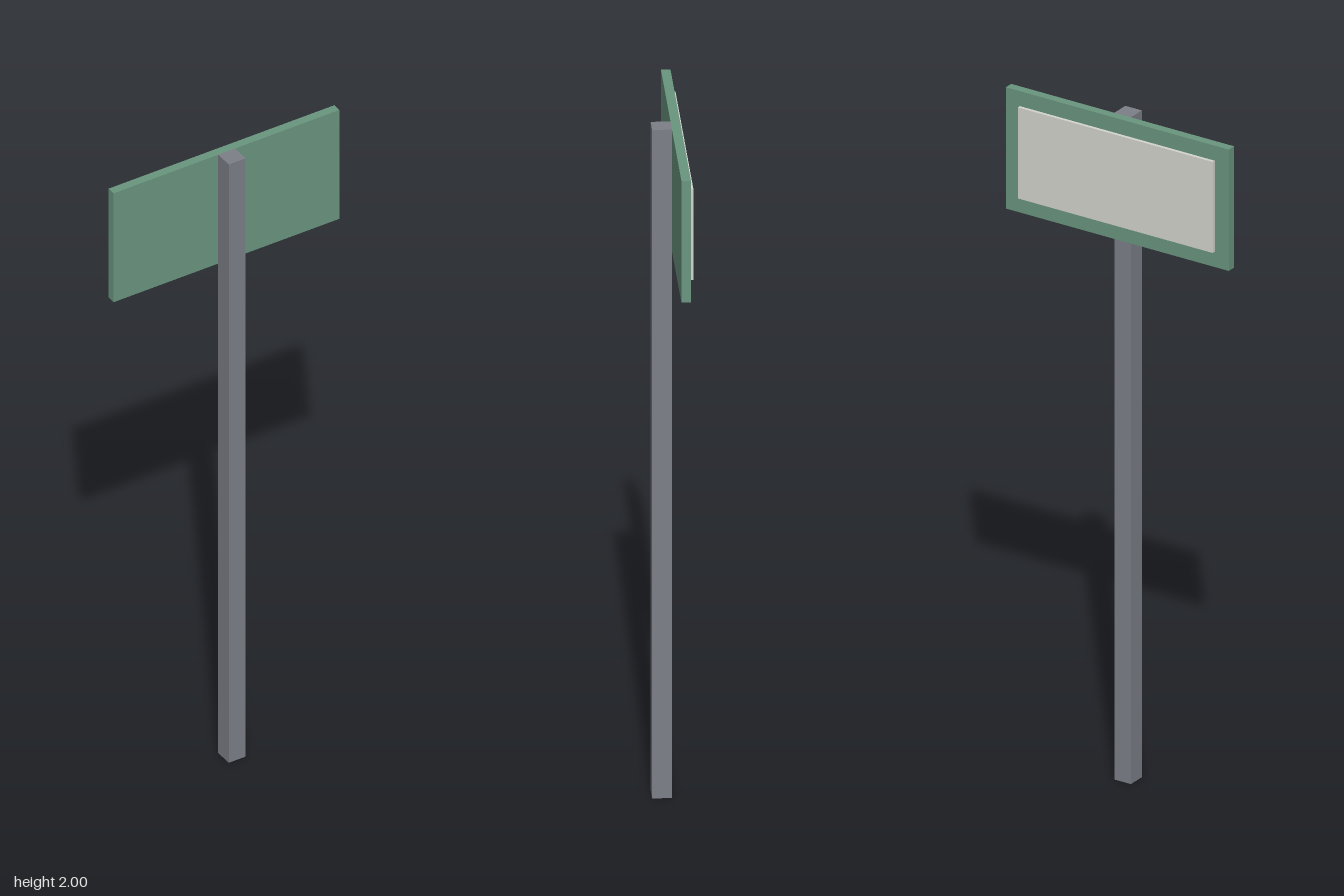
import * as THREE from 'three';

// Box given by its size, centre height and z range
function block(name, color, width, y0, y1, z0, z1) {
  const mesh = new THREE.Mesh(
    new THREE.BoxGeometry(width, y1 - y0, z1 - z0),
    new THREE.MeshStandardMaterial({ color })
  );
  mesh.position.set(0, (y0 + y1) / 2, (z0 + z1) / 2);
  mesh.name = name;
  return mesh;
}

export function createModel() {
  const sign = new THREE.Group();
  sign.name = 'signpost';
  sign.add(
    // Square post, full height
    block('post', 0x7c7f87, 0.054, 0, 2, -0.009, 0.045),
    // Green board fixed to the back of the post
    block('board', 0x6a967f, 0.727, 1.636, 2, -0.035, -0.009),
    // Pale raised face panel, leaving a green border
    block('facePanel', 0xd4d4ce, 0.636, 1.682, 1.955, -0.045, -0.035)
  );
  return sign;
}
